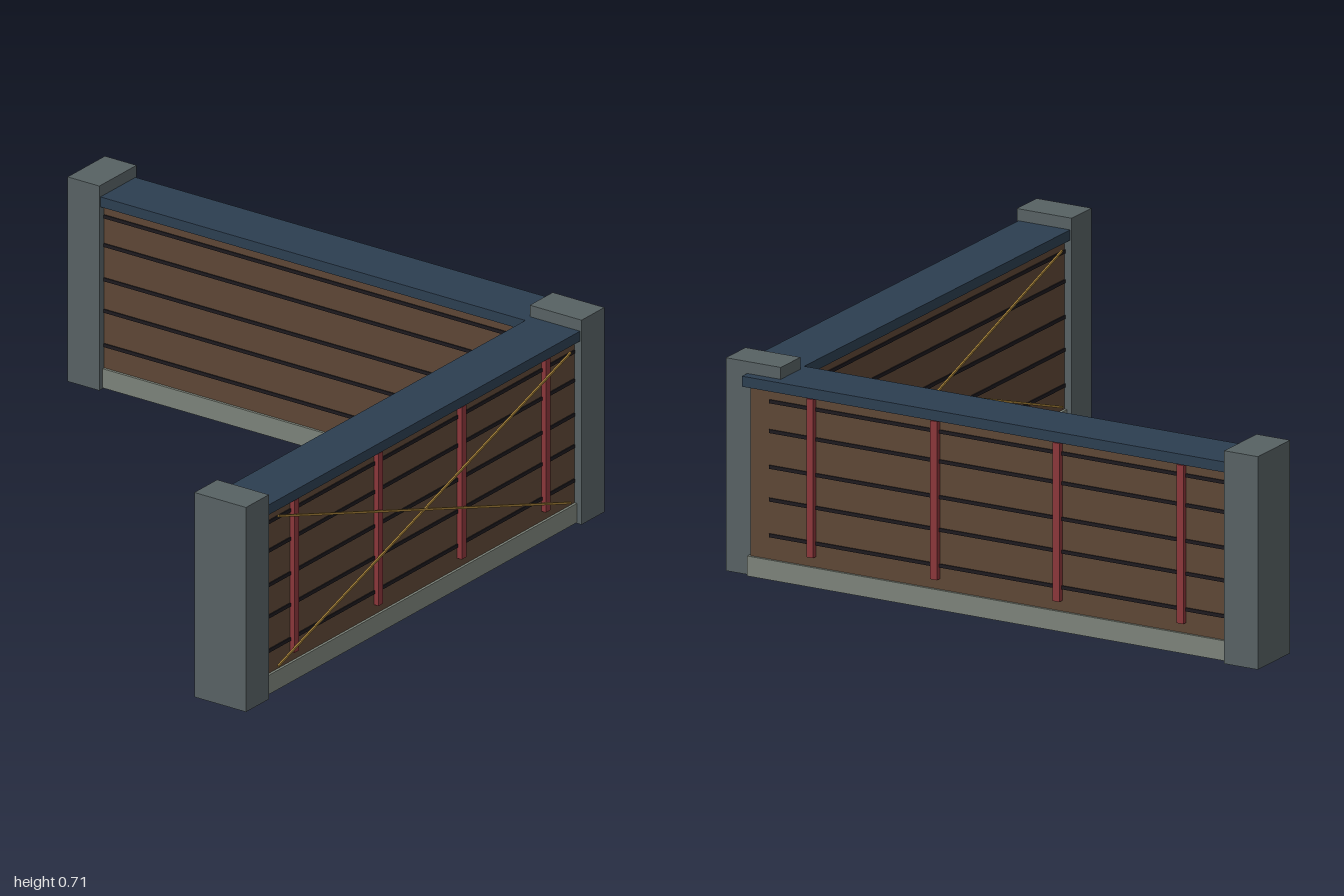
import * as THREE from 'three';

const mat = (name, color) => {
  const m = new THREE.MeshStandardMaterial({ color });
  m.name = name;
  return m;
};

export function createModel() {
  const stone = mat('post grey', 0x576163);
  const plinth = mat('plinth grey', 0x7b8279);
  const wood = mat('wood brown', 0x5d4635);
  const gap = mat('gap black', 0x1d1a1e);
  const cap = mat('cap blue', 0x2c3e50);
  const red = mat('batten red', 0x8a363a);
  const gold = mat('cable gold', 0xa58038);

  const model = new THREE.Group();
  model.name = 'cornerFence';

  // Box given by its limits on each axis
  const box = (parent, name, material, [x0, x1], [y0, y1], [z0, z1]) => {
    const mesh = new THREE.Mesh(new THREE.BoxGeometry(x1 - x0, y1 - y0, z1 - z0), material);
    mesh.position.set((x0 + x1) / 2, (y0 + y1) / 2, (z0 + z1) / 2);
    mesh.name = name;
    parent.add(mesh);
  };
  const around = (half, centre = 0) => [centre - half, centre + half];

  // A wall runs along local x, with its outer face towards local +z
  const wall = (name, ends, plinthEnd, capEnd, battens) => {
    const group = new THREE.Group();
    group.name = name;
    const [a, b] = ends;
    box(group, 'planking', wood, ends, [0.001, 0.645], around(0.075));
    box(group, 'plinth', plinth, [a, plinthEnd], [0.003, 0.07], around(0.084));
    box(group, 'capRail', cap, [a, capEnd], [0.64, 0.675], around(0.096));
    // Dark gaps between the planks, on both faces
    for (const y of [0.15, 0.27, 0.38, 0.5, 0.6])
      box(group, 'plankGap', gap, [a, Math.min(b, 0.83)], around(0.006, y), around(0.079));
    // Upright battens on the outer face
    for (const x of battens)
      box(group, 'batten', red, around(0.0125, x), [0.105, 0.637], [0.07, 0.093]);
    model.add(group);
    return group;
  };

  const C = 0.898; // centre line of both walls
  const front = wall('frontWall', [-0.88, 0.84], 0.84, 0.84, [-0.71, -0.25, 0.205, 0.665]);
  front.position.z = C;

  // Side wall: local x becomes -z, so it is laid out from the corner backwards
  const side = wall('sideWall', [-0.88, 0.90], 0.908, 0.92, [-0.705, -0.245, 0.21, 0.67]);
  side.position.x = C;
  side.rotation.y = -Math.PI / 2;
  // Turn the battens to the outer (+x) face
  side.children.filter((m) => m.name === 'batten').forEach((m) => { m.position.z *= -1; });

  // Crossed cables on both faces of the front wall
  const length = Math.hypot(1.6, 0.525);
  for (const z of [-0.099, 0.099])
    for (const s of [-1, 1]) {
      const cable = new THREE.Mesh(new THREE.BoxGeometry(length, 0.007, 0.006), gold);
      cable.position.set(-0.02, 0.358, z);
      cable.rotation.z = s * Math.atan2(0.525, 1.6);
      cable.name = 'crossCable';
      front.add(cable);
    }

  // Posts at both ends and at the corner
  const wide = [0.796, 1];
  box(model, 'leftPost', stone, [-1, -0.875], [0, 0.715], wide);
  box(model, 'cornerPost', stone, [0.835, 0.96], [0, 0.715], wide);
  box(model, 'rearPost', stone, wide, [0, 0.715], [-1, -0.875]);

  return model;
}
